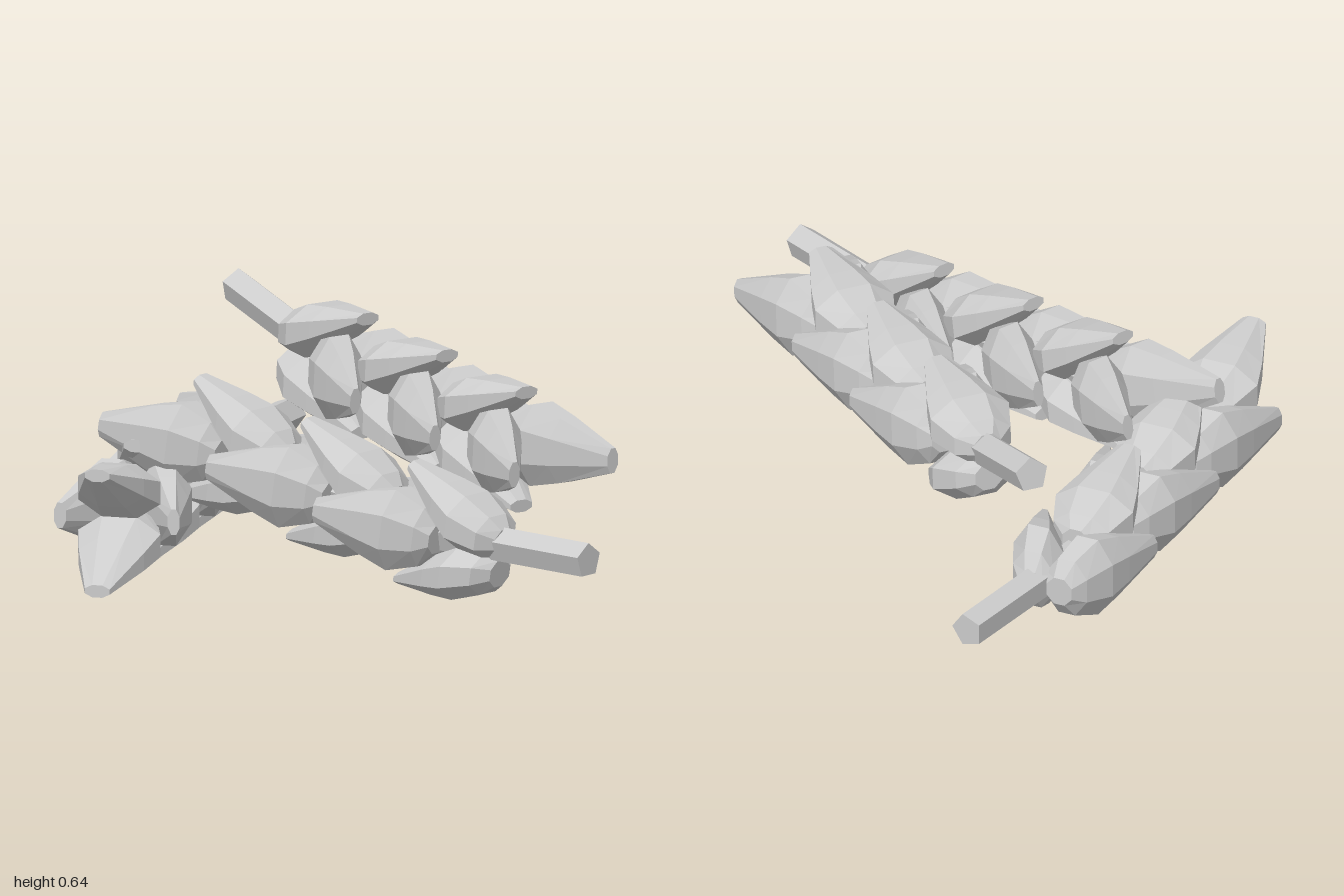
import * as THREE from 'three';

const BEND_AT = 0.55;   // where the ear tilts away from the straight stem
const BEND = 0.164;     // tilt in radians
const material = new THREE.MeshStandardMaterial({ color: 0xcccccc, flatShading: true, side: THREE.DoubleSide });

// Faceted kernel running along +z and leaning outward to +y.
function grainGeometry() {
  const sides = 8;
  // [distance along ear, centre radius, half width, half thickness]
  const rings = [
    [0, 0.045, 0.042, 0.04],
    [0.035, 0.052, 0.088, 0.064],
    [0.12, 0.075, 0.122, 0.08],
    [0.2, 0.105, 0.097, 0.062],
    [0.345, 0.164, 0.037, 0.018],
  ];
  const pos = [], index = [];
  for (const [t, c, w, h] of rings) {
    for (let i = 0; i < sides; i++) {
      const a = ((i + 0.5) / sides) * Math.PI * 2;
      pos.push(w * 1.05 * Math.cos(a), c + h * 1.05 * Math.sin(a), t);
    }
  }
  for (let k = 0; k < rings.length - 1; k++) {
    for (let i = 0; i < sides; i++) {
      const j = (i + 1) % sides, a = k * sides + i, b = k * sides + j;
      index.push(a, b, a + sides, b, b + sides, a + sides);
    }
  }
  // End caps
  const last = (rings.length - 1) * sides;
  for (let i = 1; i < sides - 1; i++) {
    index.push(0, i + 1, i, last, last + i, last + i + 1);
  }
  const g = new THREE.BufferGeometry();
  g.setAttribute('position', new THREE.Float32BufferAttribute(pos, 3));
  g.setIndex(index);
  const flat = g.toNonIndexed();
  flat.computeVertexNormals();
  return flat;
}

function stemPiece(name, length) {
  const g = new THREE.CylinderGeometry(0.05, 0.05, length, 5);
  g.rotateX(-Math.PI / 2);
  g.translate(0, 0, length / 2);
  const mesh = new THREE.Mesh(g, material);
  mesh.name = name;
  return mesh;
}

// One ear: stem from the origin along +z, head bent towards +y.
function createEar(grain) {
  const ear = new THREE.Group();
  ear.add(stemPiece('stem', BEND_AT));

  const head = new THREE.Group();
  head.name = 'head';
  head.position.z = BEND_AT;
  head.rotation.x = -BEND;
  head.add(stemPiece('core', 0.72));

  // Six pairs of kernels, each pair turned a quarter from the one before
  for (let pair = 0; pair < 6; pair++) {
    for (let side = 0; side < 2; side++) {
      const mesh = new THREE.Mesh(grain, material);
      mesh.name = 'grain';
      mesh.position.z = -0.235 + pair * 0.199;
      mesh.rotation.z = (pair % 2) * Math.PI / 2 + side * Math.PI;
      head.add(mesh);
    }
  }
  ear.add(head);
  return ear;
}

export function createModel() {
  const model = new THREE.Group();
  model.name = 'wheatEars';
  const grain = grainGeometry();
  const rad = THREE.MathUtils.degToRad;

  // Stem end, heading (degrees from +x towards +z), downward pitch, bend upward or sideways
  const ears = [
    { name: 'frontEar', at: [1, 0.215, 0.225], heading: 180, pitch: 0 },
    { name: 'sideEar', at: [-0.96, 0.187, -0.775], heading: 74.3, pitch: 0, sideways: true },
    { name: 'backEar', at: [-0.95, 0.593, -0.535], heading: 15.4, pitch: 14 },
  ];
  for (const { name, at, heading, pitch, sideways } of ears) {
    const a = rad(heading), p = rad(pitch);
    const forward = new THREE.Vector3(Math.cos(a) * Math.cos(p), -Math.sin(p), Math.sin(a) * Math.cos(p));
    const up = sideways
      ? new THREE.Vector3(Math.sin(a), 0, -Math.cos(a))
      : new THREE.Vector3(Math.cos(a) * Math.sin(p), Math.cos(p), Math.sin(a) * Math.sin(p));
    const right = new THREE.Vector3().crossVectors(up, forward);
    const ear = createEar(grain);
    ear.name = name;
    ear.quaternion.setFromRotationMatrix(new THREE.Matrix4().makeBasis(right, up, forward));
    ear.position.set(...at);
    model.add(ear);
  }
  return model;
}
